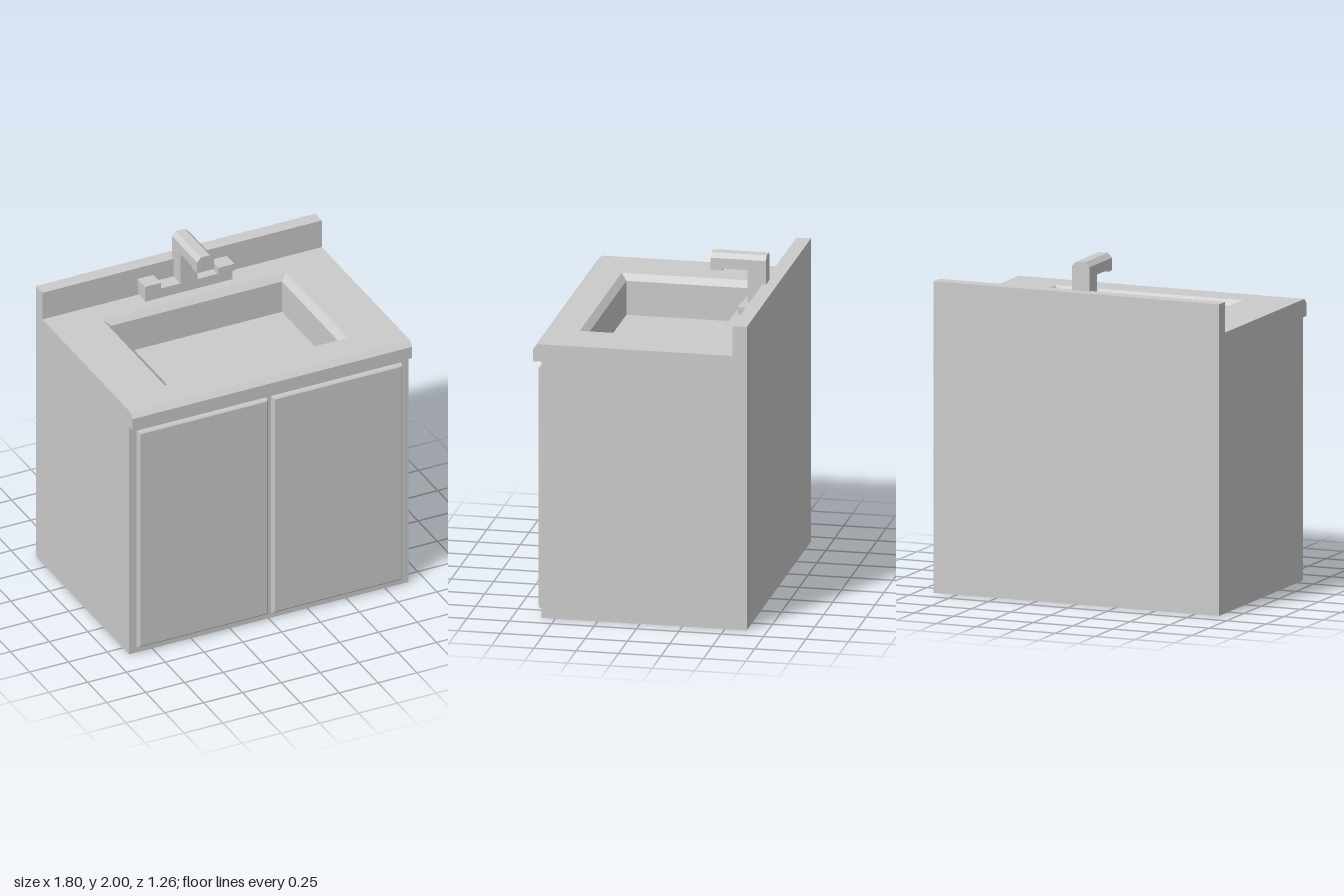
import * as THREE from 'three';

const material = new THREE.MeshStandardMaterial({ color: 0xcccccc, flatShading: true });

function addMesh(parent, name, geometry) {
  const mesh = new THREE.Mesh(geometry, material);
  mesh.name = name;
  parent.add(mesh);
  return mesh;
}

// Box given by its lower and upper limits on each axis
function addBox(parent, name, [x0, x1], [y0, y1], [z0, z1]) {
  const box = new THREE.BoxGeometry(x1 - x0, y1 - y0, z1 - z0);
  box.translate((x0 + x1) / 2, (y0 + y1) / 2, (z0 + z1) / 2);
  return addMesh(parent, name, box);
}

// Skin over a stack of rectangles [y, halfWidth, zBack, zFront], closed at both ends
function rectangleLoft(levels) {
  const rings = levels.map(([y, w, zb, zf]) =>
    [[-w, zf], [w, zf], [w, zb], [-w, zb]].map(([x, z]) => new THREE.Vector3(x, y, z)));
  const points = [];
  const triangle = (a, b, c) => {
    const area = new THREE.Triangle(a, b, c).getArea();
    if (area > 1e-8) points.push(a, b, c);
  };
  const quad = (a, b, c, d) => { triangle(a, b, c); triangle(a, c, d); };
  for (let i = 0; i < rings.length - 1; i++) {
    const lower = rings[i], upper = rings[i + 1];
    for (let j = 0; j < 4; j++) {
      const k = (j + 1) % 4;
      quad(lower[j], lower[k], upper[k], upper[j]);
    }
  }
  const first = rings[0], last = rings[rings.length - 1];
  quad(first[3], first[2], first[1], first[0]);
  quad(last[0], last[1], last[2], last[3]);
  const geometry = new THREE.BufferGeometry().setFromPoints(points);
  geometry.computeVertexNormals();
  return geometry;
}

export function createModel() {
  const model = new THREE.Group();
  model.name = 'vanity';

  // Cabinet, overhanging counter edge and sunken basin as one skin
  addMesh(model, 'cabinetAndBasin', rectangleLoft([
    [0, 0.9, -0.63, 0.58],
    [1.545, 0.9, -0.63, 0.58],
    [1.545, 0.9, -0.63, 0.63],
    [1.62, 0.9, -0.63, 0.63],
    [1.65, 0.9, -0.63, 0.6],
    [1.65, 0.59, -0.39, 0.42],
    [1.615, 0.55, -0.357, 0.385],
    [1.41, 0.55, -0.357, 0.385],
  ]));

  addBox(model, 'backsplash', [-0.9, 0.9], [1.65, 1.83], [-0.63, -0.545]);

  // Pair of doors with a narrow chamfer round the front
  const bevel = 0.01;
  const doorWidth = 0.835, doorHeight = 1.455;
  const w = doorWidth / 2 - bevel, h = doorHeight / 2 - bevel;
  const panel = new THREE.Shape([
    new THREE.Vector2(-w, -h), new THREE.Vector2(w, -h),
    new THREE.Vector2(w, h), new THREE.Vector2(-w, h),
  ]);
  const doorGeometry = new THREE.ExtrudeGeometry(panel, {
    depth: 0.04, bevelSize: bevel, bevelThickness: 0.008, bevelSegments: 1,
  });
  for (const side of [-1, 1]) {
    const door = addMesh(model, side > 0 ? 'leftDoor' : 'rightDoor', doorGeometry);
    door.position.set(side * 0.4325, 0.7725, 0.562);
  }

  // Tap: base plate, two handles, column and spout
  const tap = new THREE.Group();
  tap.name = 'tap';
  model.add(tap);
  addBox(tap, 'tapBase', [-0.28, 0.28], [1.65, 1.712], [-0.55, -0.457]);
  for (const side of [-1, 1]) {
    const x = [side * 0.185, side * 0.288].sort((a, b) => a - b);
    addBox(tap, side > 0 ? 'leftHandle' : 'rightHandle', x, [1.712, 1.757], [-0.547, -0.447]);
  }
  addBox(tap, 'tapColumn', [-0.055, 0.055], [1.65, 1.912], [-0.565, -0.457]);

  // Spout with chamfered top edges
  const section = new THREE.Shape([
    [-0.055, 1.912], [0.055, 1.912], [0.055, 1.973],
    [0.028, 2], [-0.028, 2], [-0.055, 1.973],
  ].map(([x, y]) => new THREE.Vector2(x, y)));
  const spout = new THREE.ExtrudeGeometry(section, { depth: 0.326, bevelEnabled: false });
  spout.translate(0, 0, -0.565);
  addMesh(tap, 'spout', spout);
  addBox(tap, 'spoutTip', [-0.055, 0.055], [1.9, 1.912], [-0.307, -0.239]);

  return model;
}
